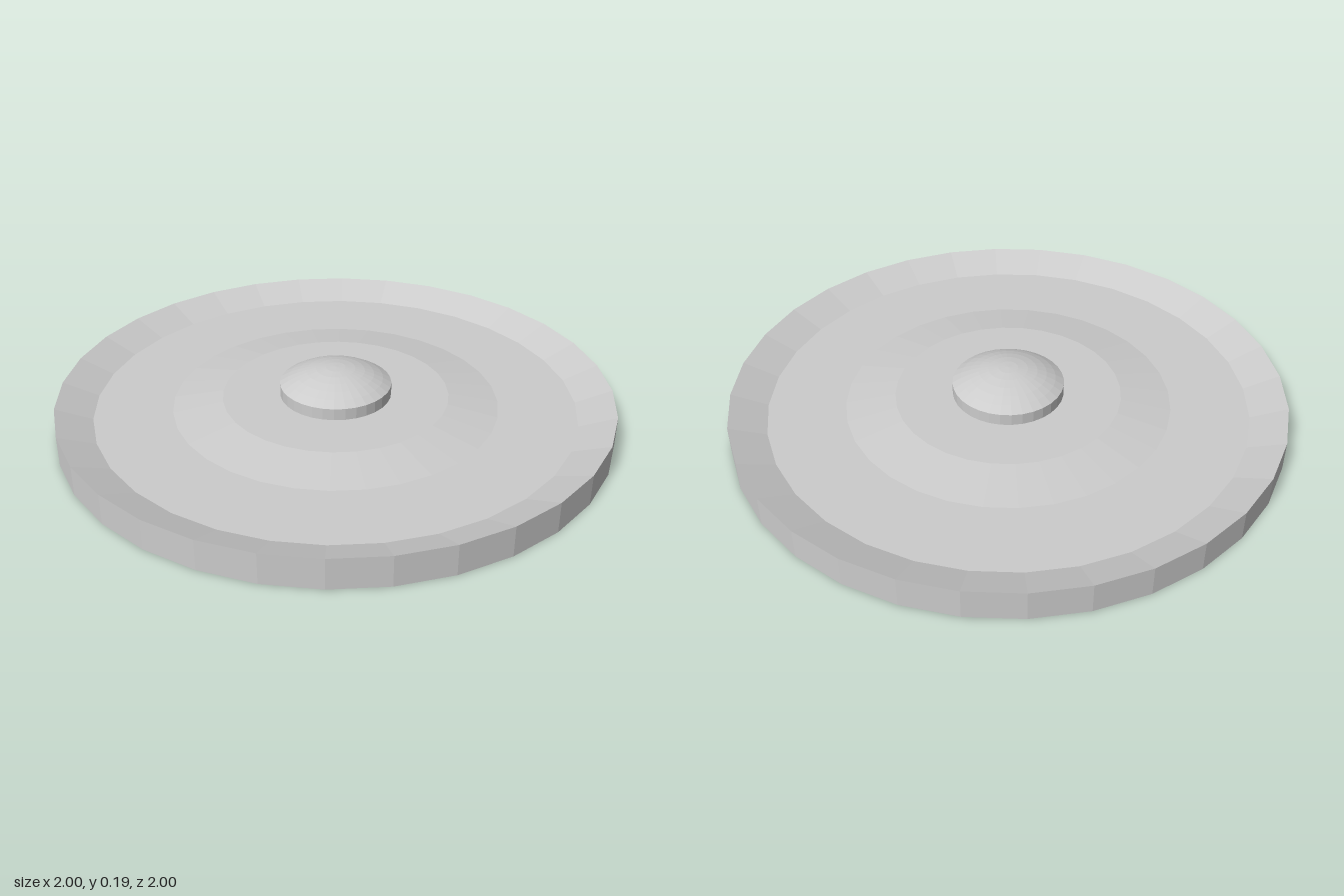
import * as THREE from 'three';

const SIDES = 32;
const material = new THREE.MeshStandardMaterial({ color: 0xcccccc, flatShading: true });

// Turned part from [radius, height] pairs, listed from the bottom up the outside
function turned(name, profile) {
  const points = profile.map(([r, y]) => new THREE.Vector2(r, y));
  const mesh = new THREE.Mesh(new THREE.LatheGeometry(points, SIDES), material);
  mesh.name = name;
  return mesh;
}

export function createModel() {
  const model = new THREE.Group();
  model.name = 'dish';

  // Shallow dish: flat underside, sloped rim, floor and raised middle step
  model.add(turned('dishBody', [
    [0, 0], [1, 0], [1, 0.11],
    [0.87, 0.058], [0.59, 0.058],
    [0.41, 0.088], [0, 0.088],
  ]));

  // Round knob: short wall closed by a spherical cap
  const radius = 0.202, wallTop = 0.131, capHeight = 0.062;
  const capRadius = (radius ** 2 + capHeight ** 2) / (2 * capHeight);
  const capAngle = Math.asin(radius / capRadius);
  const knob = [[radius, 0.088]];
  const rings = 6;
  for (let i = 0; i <= rings; i++) {
    const a = capAngle * (1 - i / rings);
    knob.push([capRadius * Math.sin(a), wallTop + capHeight - capRadius * (1 - Math.cos(a))]);
  }
  model.add(turned('centreKnob', knob));

  return model;
}
